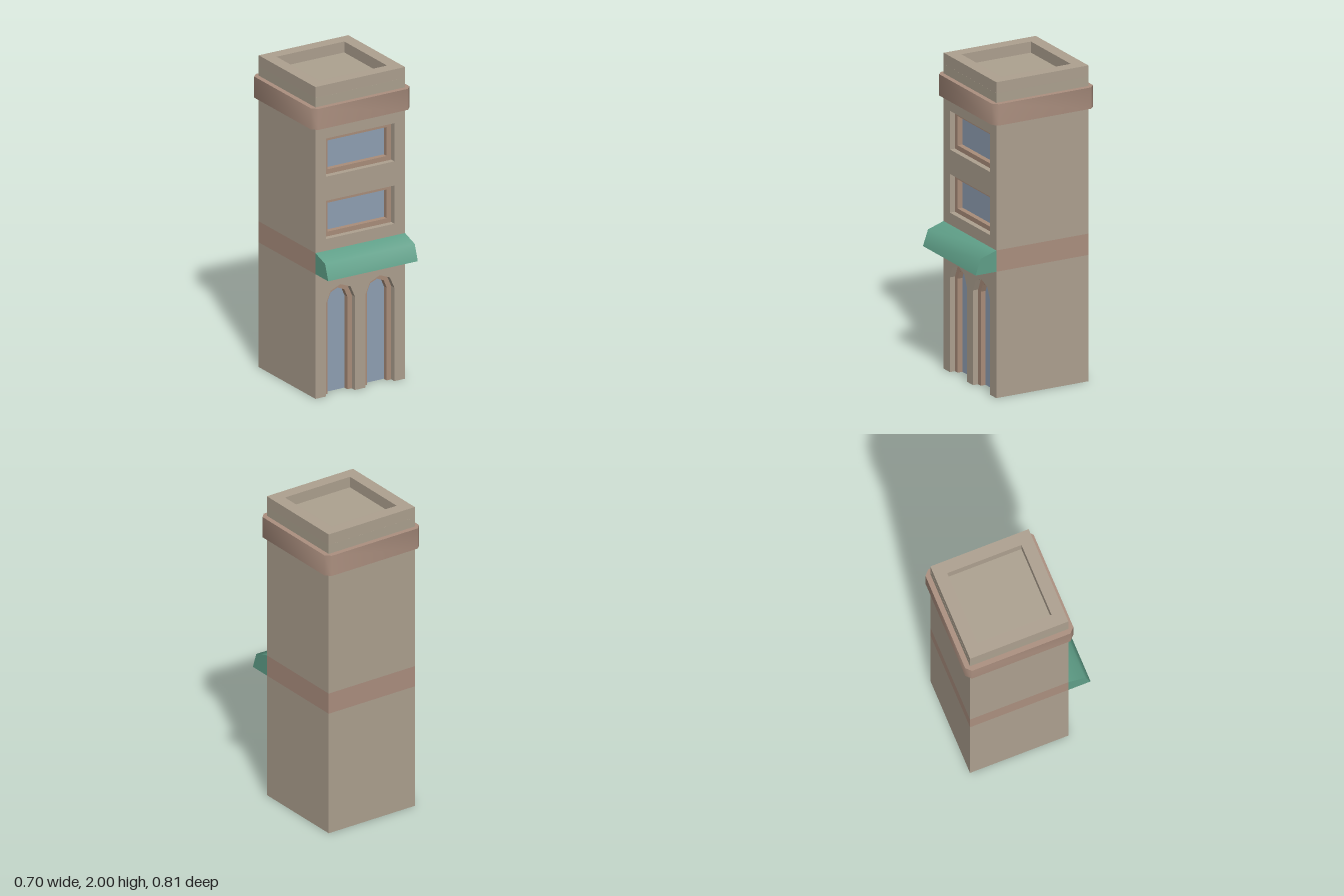
import * as THREE from 'three';
import { toCreasedNormals } from 'three/addons/utils/BufferGeometryUtils.js';

const HALF = 0.318, BACK = -0.375, FRONT = 0.262;
const GLASS_Z = 0.192, FRAME_Z = 0.227; // depth of the panes and of the frame faces
const MID_Z = (FRONT + BACK) / 2;

const colors = {
  wall: 0xada08f, band: 0xab8f7f, frame: 0xa98d7a, glass: 0x8f9fb3,
  awning: 0x5f9f88, roof: 0xaca18f,
};
const mats = {};
for (const key in colors) mats[key] = new THREE.MeshStandardMaterial({ color: colors[key] });

const toShape = (pts) => new THREE.Shape(pts.map(([x, y]) => new THREE.Vector2(x, y)));
const rect = (x0, y0, x1, y1) => [[x0, y0], [x1, y0], [x1, y1], [x0, y1]];

export function createModel() {
  const model = new THREE.Group();

  const add = (name, geometry, mat, parent = model) => {
    const mesh = new THREE.Mesh(geometry, mats[mat]);
    mesh.name = name;
    parent.add(mesh);
    return mesh;
  };
  const extrude = (pts, depth, hole) => {
    const shape = toShape(pts);
    if (hole) shape.holes.push(toShape(hole));
    return new THREE.ExtrudeGeometry(shape, { depth, bevelEnabled: false });
  };
  // box spanning the footprint between two heights and two depths
  const block = (name, y0, y1, z0, z1, mat) => {
    const mesh = add(name, new THREE.BoxGeometry(2 * HALF, y1 - y0, z1 - z0), mat);
    mesh.position.set(0, (y0 + y1) / 2, (z0 + z1) / 2);
  };

  // ground floor: solid core plus a front wall notched by two arched doorways
  const arch = (cx, w, spring, kinkX, kinkY, top) => [
    [cx - w, 0], [cx - w, spring], [cx - kinkX, kinkY], [cx, top],
    [cx + kinkX, kinkY], [cx + w, spring], [cx + w, 0],
  ];
  const wallOutline = [[-HALF, 0]];
  block('groundFloorCore', 0, 0.8, BACK, GLASS_Z, 'wall');
  for (const cx of [-0.14, 0.14]) {
    const outer = arch(cx, 0.102, 0.6, 0.07, 0.672, 0.7);
    const inner = arch(cx, 0.07, 0.595, 0.048, 0.647, 0.667);
    wallOutline.push(...outer);
    const door = new THREE.Group();
    door.name = cx < 0 ? 'rightDoor' : 'leftDoor';
    model.add(door);
    add('doorFrame', extrude([...outer, ...inner.slice().reverse()], FRAME_Z - GLASS_Z), 'frame', door)
      .position.z = GLASS_Z;
    add('doorGlass', new THREE.ShapeGeometry(toShape(inner)), 'glass', door)
      .position.z = GLASS_Z + 0.002;
  }
  wallOutline.push([HALF, 0], [HALF, 0.8], [-HALF, 0.8]);
  add('groundFloorFront', extrude(wallOutline, FRONT - GLASS_Z), 'wall').position.z = GLASS_Z;

  // coloured band between the ground floor and the upper floors
  block('floorBand', 0.8, 0.935, BACK, FRONT, 'band');

  // upper floors, each with one recessed window
  for (const [y0, y1, sill] of [[0.935, 1.335, 1.01], [1.335, 1.735, 1.41]]) {
    block('upperFloorCore', y0, y1, BACK, GLASS_Z, 'wall');
    const outer = rect(-0.242, sill, 0.242, sill + 0.245);
    const inner = rect(-0.21, sill + 0.03, 0.21, sill + 0.215);
    add('upperFloorFront', extrude(rect(-HALF, y0, HALF, y1), FRONT - GLASS_Z, outer), 'wall')
      .position.z = GLASS_Z;
    const win = new THREE.Group();
    win.name = 'window';
    model.add(win);
    add('windowFrame', extrude(outer, FRAME_Z - GLASS_Z, inner), 'frame', win).position.z = GLASS_Z;
    add('windowGlass', new THREE.ShapeGeometry(toShape(inner)), 'glass', win)
      .position.z = GLASS_Z + 0.002;
  }

  // awning: profile in z and y, swept across the front
  const awning = extrude([[-FRONT, 0.8], [-0.405, 0.8], [-0.37, 0.9], [-FRONT, 0.935]], 2 * HALF);
  awning.rotateY(Math.PI / 2).translate(-HALF, 0, 0);
  add('awning', toCreasedNormals(awning, 1.0), 'awning');

  // cornice: chamfered square slab with softened corners
  const o = 0.35, c = 0.318;
  const cornice = extrude(
    [[-c, -o], [c, -o], [o, -c], [o, c], [c, o], [-c, o], [-o, c], [-o, -c]], 0.135);
  cornice.rotateX(-Math.PI / 2).translate(0, 1.735, MID_Z);
  add('cornice', toCreasedNormals(cornice, 1.0), 'band');

  // flat roof sunk inside the parapet
  block('parapetBase', 1.735, 1.93, BACK, FRONT, 'roof');
  const parapet = extrude(rect(-HALF, -HALF, HALF, HALF), 0.07, rect(-0.24, -0.24, 0.24, 0.24));
  parapet.rotateX(-Math.PI / 2).translate(0, 1.93, MID_Z);
  add('parapet', parapet, 'wall');

  return model;
}
